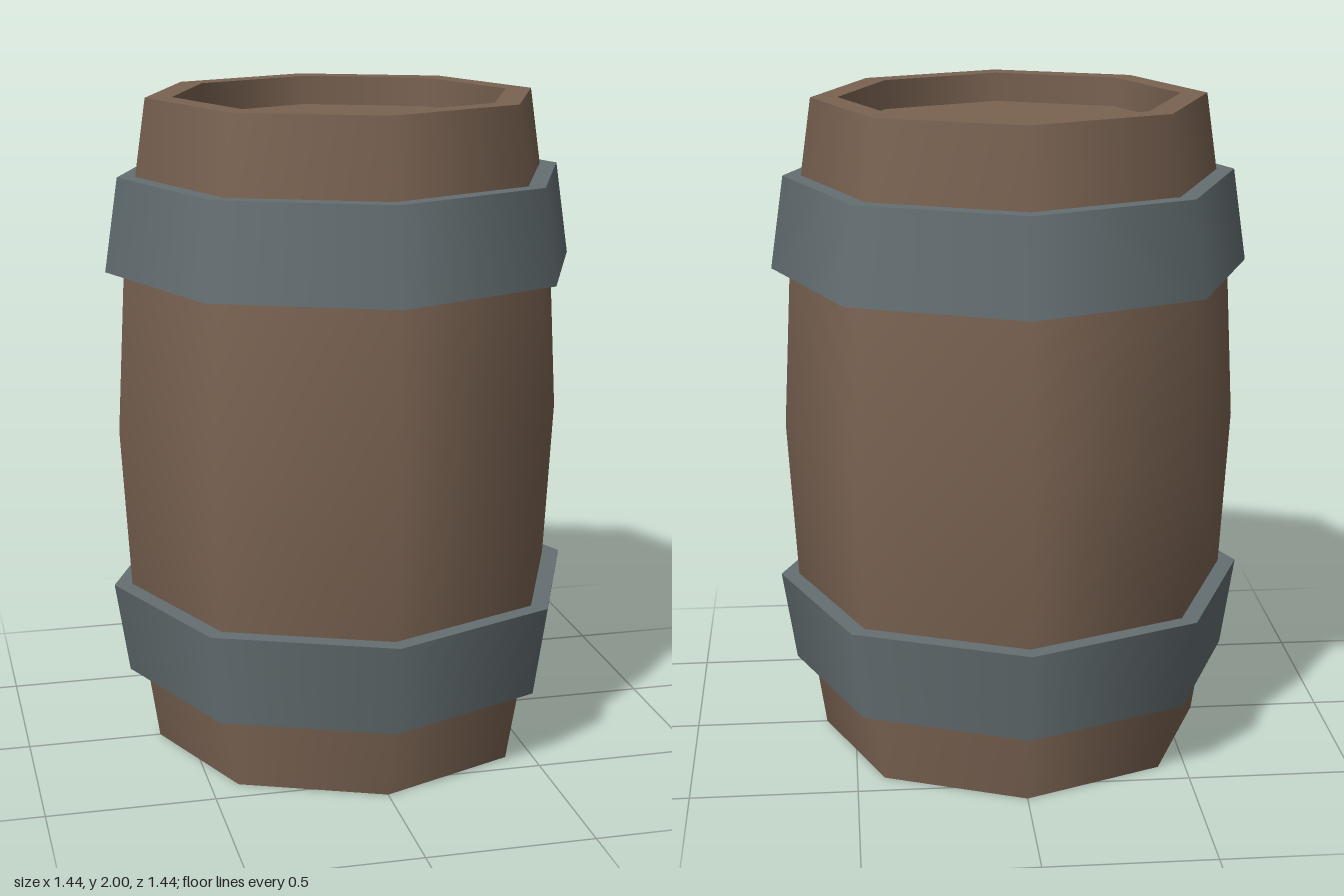
import * as THREE from 'three';
import { mergeGeometries } from 'three/addons/utils/BufferGeometryUtils.js';

const SIDES = 8;
const wood = new THREE.MeshStandardMaterial({ color: 0x7a6352 });
const iron = new THREE.MeshStandardMaterial({ color: 0x646f72 });

// Each run of [radius, y] points is smooth; edges between runs stay sharp.
function turned(name, material, runs) {
  const parts = runs.map((run) =>
    new THREE.LatheGeometry(run.map(([r, y]) => new THREE.Vector2(r, y)), SIDES));
  const mesh = new THREE.Mesh(mergeGeometries(parts), material);
  mesh.name = name;
  return mesh;
}

export function createModel() {
  const group = new THREE.Group();
  group.name = 'barrel';

  const rim = 0.59, lip = 0.51, recess = 0.09;

  // Bulging staves with a flat rim at both ends
  group.add(turned('staves', wood, [
    [[lip, recess], [lip, 0]],
    [[lip, 0], [rim, 0]],
    [[rim, 0], [0.665, 0.51], [0.692, 1], [0.665, 1.49], [rim, 2]],
    [[rim, 2], [lip, 2]],
    [[lip, 2], [lip, 2 - recess]],
  ]));

  // Recessed end boards
  group.add(turned('topLid', wood, [[[lip, 2 - recess], [0, 2 - recess]]]));
  group.add(turned('bottomLid', wood, [[[0, recess], [lip, recess]]]));

  // Tapered hoops, wider towards the middle of the barrel
  const hoop = (name, y0, r0, y1, r1) => turned(name, iron, [
    [[r0 - 0.08, y0], [r0, y0]],
    [[r0, y0], [r1, y1]],
    [[r1, y1], [r1 - 0.08, y1]],
  ]);
  group.add(hoop('lowerHoop', 0.23, 0.678, 0.51, 0.72));
  group.add(hoop('upperHoop', 1.49, 0.72, 1.77, 0.678));

  return group;
}
